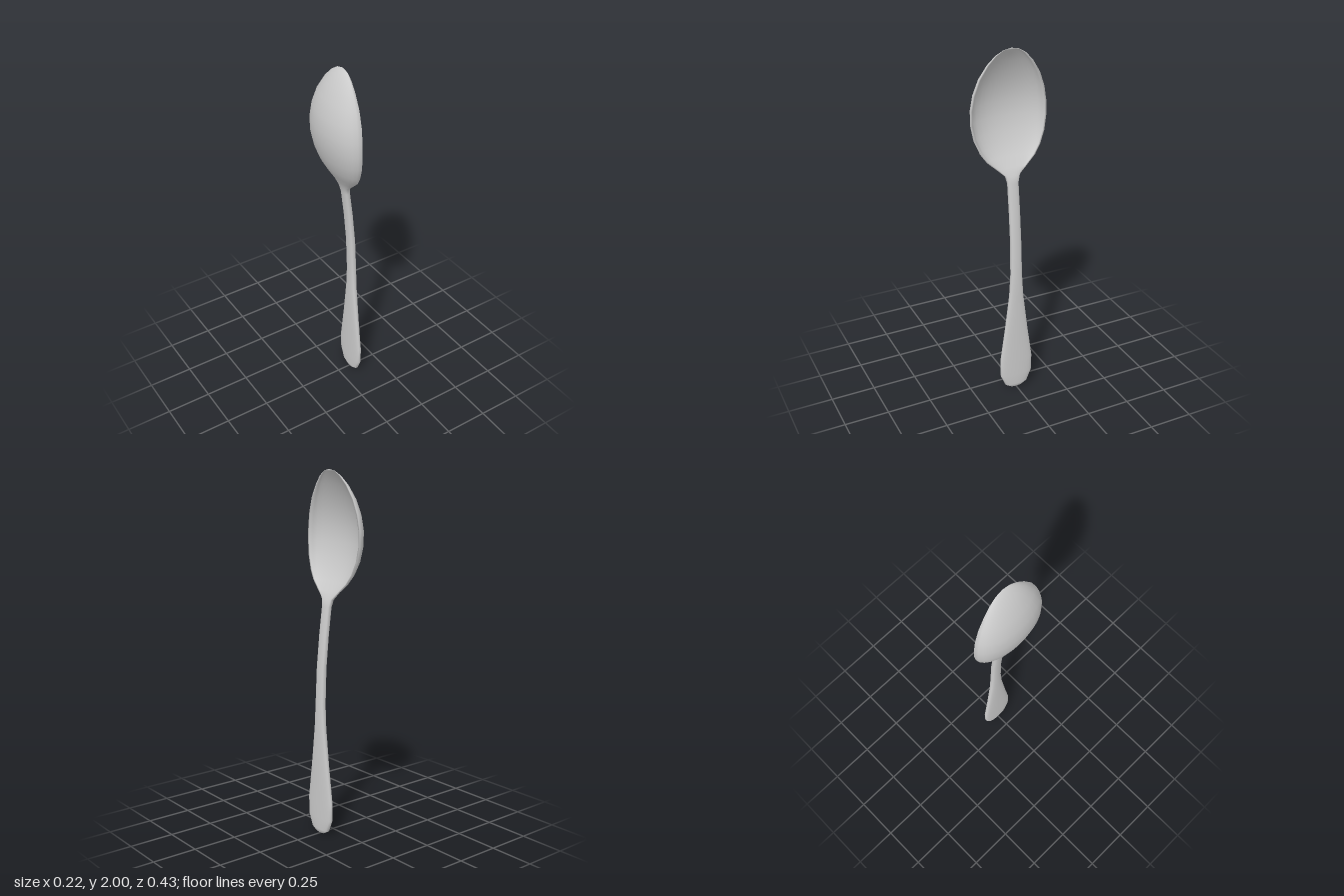
import * as THREE from 'three';
import { mergeVertices } from 'three/addons/utils/BufferGeometryUtils.js';

// Stations from handle end to bowl tip: height, edge x, half width, back depth, front depth.
// Front depth is positive where the front is hollow, negative where it bulges.
const stations = [
  [0.005, 0.088, 0, 0, 0],
  [0.012, 0.088, 0.035, 0.012, -0.012],
  [0.032, 0.088, 0.067, 0.018, -0.018],
  [0.1, 0.088, 0.096, 0.019, -0.019],
  [0.2, 0.088, 0.098, 0.019, -0.019],
  [0.4, 0.088, 0.069, 0.019, -0.019],
  [0.62, 0.088, 0.041, 0.019, -0.019],
  [0.75, 0.087, 0.033, 0.019, -0.019],
  [0.95, 0.079, 0.031, 0.019, -0.019],
  [1.13, 0.062, 0.031, 0.018, -0.018],
  [1.28, 0.043, 0.031, 0.018, -0.018],
  [1.32, 0.039, 0.042, 0.024, -0.012],
  [1.36, 0.034, 0.085, 0.035, 0.008],
  [1.41, 0.024, 0.14, 0.055, 0.033],
  [1.46, 0.015, 0.174, 0.073, 0.053],
  [1.53, 0.006, 0.202, 0.091, 0.072],
  [1.61, 0.0, 0.215, 0.103, 0.085],
  [1.69, -0.001, 0.214, 0.107, 0.089],
  [1.77, 0.002, 0.2, 0.1, 0.082],
  [1.85, 0.007, 0.171, 0.08, 0.063],
  [1.92, 0.013, 0.127, 0.052, 0.037],
  [1.965, 0.019, 0.085, 0.028, 0.016],
  [1.99, 0.024, 0.045, 0.011, 0.003],
  [2.0, 0.026, 0, 0, 0],
];

const HALF = 14; // segments across each face

// Closed ring: across the back from +z to -z, then across the front
function ring([y, x, w, back, front]) {
  const points = [];
  const inHandle = y < 1.33;
  const power = inHandle ? 0.65 : 1;
  const lip = front > 0 ? Math.min(0.01, w * 0.1) : 0;
  for (let side = 0; side < 2; side++) {
    for (let i = 0; i <= HALF; i++) {
      const t = (i / HALF) * Math.PI;
      const bulge = Math.pow(Math.max(0, Math.sin(t)), power);
      const z = Math.cos(t) * (side ? -(w - lip) : w);
      points.push(x - (side ? front : back) * bulge, y, z);
    }
  }
  return points;
}

function loftGeometry() {
  const positions = stations.flatMap(ring);
  const n = 2 * (HALF + 1);
  const index = [];
  for (let s = 0; s < stations.length - 1; s++) {
    for (let i = 0; i < n; i++) {
      const a = s * n + i, b = s * n + (i + 1) % n;
      index.push(a, a + n, b + n, a, b + n, b);
    }
  }
  const geometry = new THREE.BufferGeometry();
  geometry.setAttribute('position', new THREE.Float32BufferAttribute(positions, 3));
  geometry.setIndex(index);
  // Weld the handle edges and both ends before smoothing
  const welded = mergeVertices(geometry, 1e-5);
  welded.computeVertexNormals();
  return welded;
}

export function createModel() {
  const group = new THREE.Group();
  group.name = 'spoon';
  const material = new THREE.MeshStandardMaterial({ color: 0xcccccc });
  // Handle and bowl are one continuous skin
  const body = new THREE.Mesh(loftGeometry(), material);
  body.name = 'bowlAndHandle';
  group.add(body);
  return group;
}
